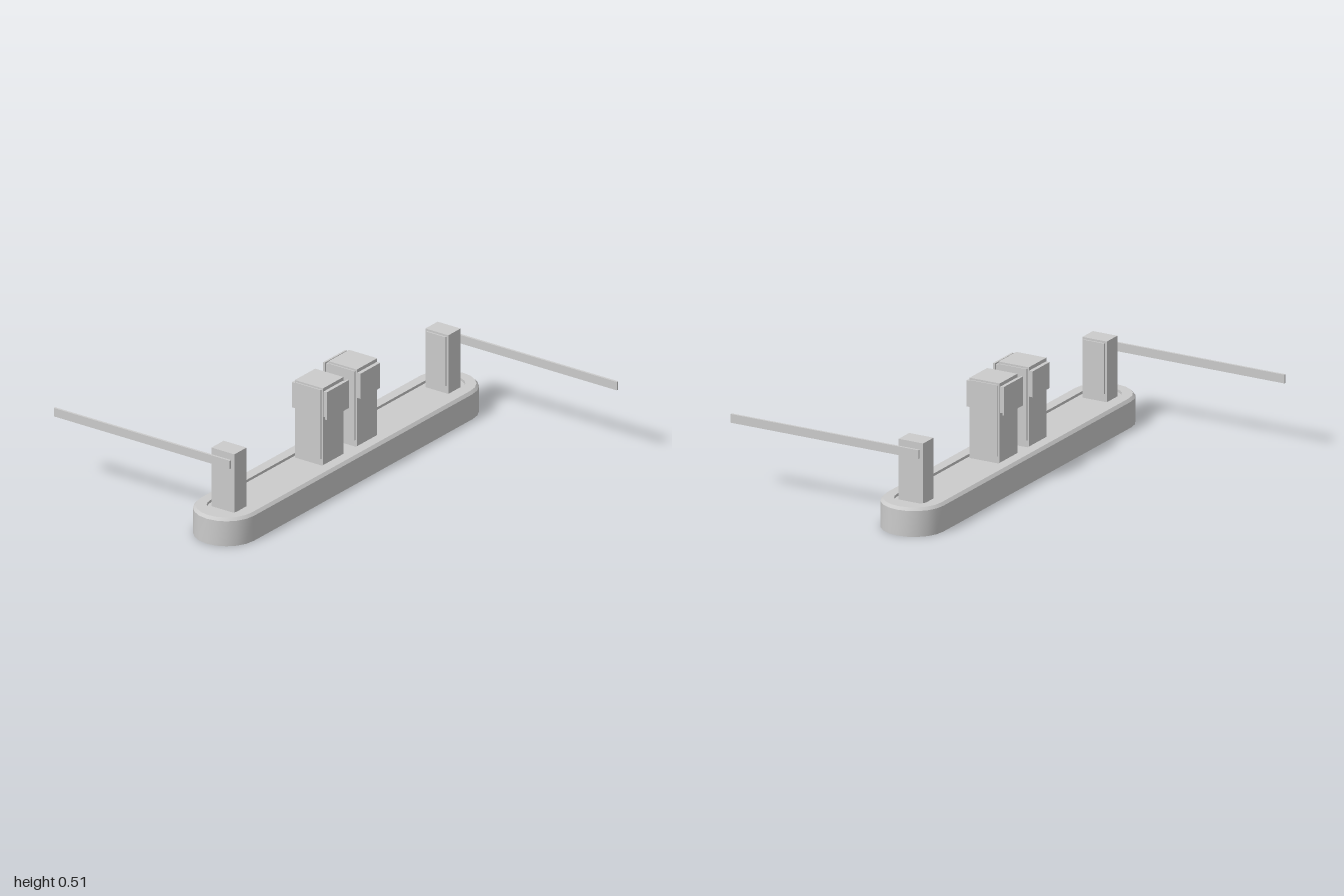
import * as THREE from 'three';
import { toCreasedNormals } from 'three/addons/utils/BufferGeometryUtils.js';

const grey = new THREE.MeshStandardMaterial({ color: 0xcccccc });
const shellGrey = new THREE.MeshStandardMaterial({ color: 0xcccccc, side: THREE.DoubleSide });

// Box given by its limits on each axis
function box(parent, name, [x0, x1], [y0, y1], [z0, z1]) {
  const mesh = new THREE.Mesh(new THREE.BoxGeometry(x1 - x0, y1 - y0, z1 - z0), grey);
  mesh.position.set((x0 + x1) / 2, (y0 + y1) / 2, (z0 + z1) / 2);
  mesh.name = name;
  parent.add(mesh);
}

// Rounded island, open below, with a raised kerb around a sunken deck
function island() {
  const R = 0.155, half = 1 - R, arc = 10;
  const rings = [[0, 0], [0, 0.125], [0.012, 0.139], [0.063, 0.139], [0.063, 0.126]];
  const n = 2 * (arc + 1), pos = [], idx = [];
  for (const [inset, y] of rings) {
    for (const side of [1, -1]) {
      for (let i = 0; i <= arc; i++) {
        const a = (i / arc) * Math.PI;
        pos.push(side * (R - inset) * Math.cos(a), y, side * (half + (R - inset) * Math.sin(a)));
      }
    }
  }
  for (let r = 0; r < rings.length - 1; r++) {
    for (let i = 0; i < n; i++) {
      const a = r * n + i, b = r * n + (i + 1) % n;
      idx.push(a, a + n, b, b, a + n, b + n);
    }
  }
  // Deck closing the innermost ring
  const last = (rings.length - 1) * n;
  pos.push(0, rings[rings.length - 1][1], 0);
  for (let i = 0; i < n; i++) idx.push(last + i, last + n, last + (i + 1) % n);

  const geo = new THREE.BufferGeometry();
  geo.setAttribute('position', new THREE.Float32BufferAttribute(pos, 3));
  geo.setIndex(idx);
  const mesh = new THREE.Mesh(toCreasedNormals(geo, 0.6), shellGrey);
  mesh.name = 'island';
  return mesh;
}

// One lane's equipment: barrier post with arm, and a ticket machine
function lane() {
  const g = new THREE.Group();

  box(g, 'barrierPost', [-0.065, 0.065], [0.12, 0.42], [0.78, 0.875]);
  box(g, 'postDoor', [-0.055, 0.055], [0.165, 0.41], [0.773, 0.78]);
  box(g, 'barrierArm', [-0.953, 0.047], [0.345, 0.387], [0.875, 0.886]);

  box(g, 'machineBody', [-0.08, 0.08], [0.12, 0.515], [0.052, 0.21]);
  for (const [z0, z1] of [[0.046, 0.052], [0.21, 0.216]]) {
    box(g, 'machinePanel', [-0.072, 0.072], [0.16, 0.506], [z0, z1]);
  }
  box(g, 'consoleHousing', [0.08, 0.097], [0.372, 0.498], [0.055, 0.207]);
  box(g, 'consoleFace', [0.097, 0.107], [0.365, 0.505], [0.046, 0.216]);
  box(g, 'rearHousing', [-0.099, -0.08], [0.372, 0.498], [0.055, 0.207]);
  return g;
}

export function createModel() {
  const model = new THREE.Group();
  model.name = 'barrierIsland';
  model.add(island());
  // The two lanes run in opposite directions
  ['frontLane', 'backLane'].forEach((name, i) => {
    const g = lane();
    g.name = name;
    g.rotation.y = i * Math.PI;
    model.add(g);
  });
  return model;
}
